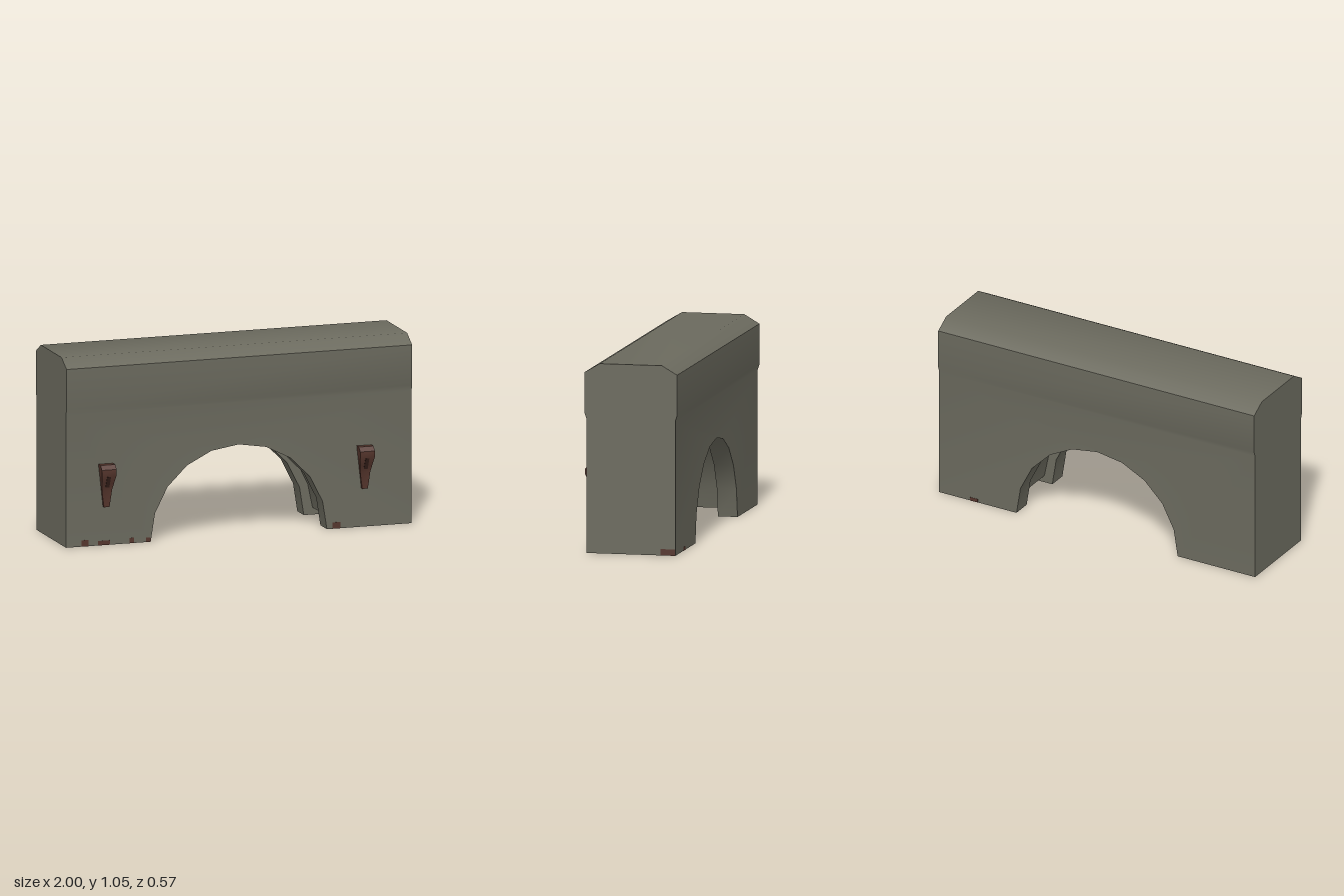
import * as THREE from 'three';
import { mergeGeometries, toCreasedNormals } from 'three/addons/utils/BufferGeometryUtils.js';

const stone = new THREE.MeshStandardMaterial({ color: 0x6b6a5e });
stone.name = 'stone';
const iron = new THREE.MeshStandardMaterial({ color: 0x55352c });
iron.name = 'rustyIron';
const darkIron = new THREE.MeshStandardMaterial({ color: 0x37211b });
darkIron.name = 'darkIron';

const toShape = (pts) => new THREE.Shape(pts.map(([x, y]) => new THREE.Vector2(x, y)));

// Extrude a (z, y) profile along x, centred on x = 0
function extrudeAlongX(pts, width) {
  return new THREE.ExtrudeGeometry(toShape(pts), { depth: width, bevelEnabled: false })
    .translate(0, 0, -width / 2)
    .rotateY(-Math.PI / 2);
}

const SHOULDER = 0.745;

// Lower wall slab with an arched opening; lift raises the foot beside the arch
function archSlab(radius, z0, z1, lift = 0) {
  const pts = [[-1, 0]];
  for (let i = 0; i <= 10; i++) {
    const a = Math.PI * (1 - i / 10);
    pts.push([radius * Math.cos(a), Math.max(lift, radius * Math.sin(a))]);
  }
  pts.push([1, 0], [1, SHOULDER], [-1, SHOULDER]);
  return new THREE.ExtrudeGeometry(toShape(pts), { depth: z1 - z0, bevelEnabled: false })
    .translate(0, 0, z0);
}

function createWall() {
  // Overhanging, chamfered upper wall
  const top = extrudeAlongX([
    [0.225, SHOULDER], [0.235, 0.775], [0.235, 1.0], [0.15, 1.05],
    [-0.2, 1.05], [-0.285, 1.0], [-0.285, 0.775], [-0.275, SHOULDER],
  ], 2);
  // Two arch lips with a gate groove between them
  const parts = [
    top,
    archSlab(0.51, 0.115, 0.225),
    archSlab(0.56, -0.165, 0.115, 0.04),
    archSlab(0.51, -0.275, -0.165),
  ];
  const mesh = new THREE.Mesh(toCreasedNormals(mergeGeometries(parts), 0.7), stone);
  mesh.name = 'archedWall';
  return mesh;
}

function createBracket(x) {
  const group = new THREE.Group();
  group.name = 'wallBracket';
  // Side profile, then narrowed towards the foot
  const geo = extrudeAlongX([
    [0.22, 0.215], [0.242, 0.215], [0.245, 0.31], [0.262, 0.35], [0.285, 0.4],
    [0.285, 0.432], [0.262, 0.455], [0.22, 0.455],
  ], 1);
  const p = geo.attributes.position;
  for (let i = 0; i < p.count; i++) {
    const t = THREE.MathUtils.clamp((p.getY(i) - 0.215) / 0.185, 0, 1);
    p.setX(i, p.getX(i) * THREE.MathUtils.lerp(0.032, 0.085, t));
  }
  const body = new THREE.Mesh(toCreasedNormals(geo, 0.6), iron);
  body.name = 'bracketBody';
  // Narrow slot on the sloping face
  const slot = new THREE.Mesh(new THREE.BoxGeometry(0.022, 0.07, 0.005), darkIron);
  slot.position.set(0, 0.36, 0.266);
  slot.rotation.x = 0.42;
  slot.name = 'bracketSlot';
  group.add(body, slot);
  group.position.x = x;
  return group;
}

// Thin rust patch on a wall face
function createPatch(x, z, w, h, d) {
  const mesh = new THREE.Mesh(new THREE.BoxGeometry(w, h, d), iron);
  mesh.position.set(x, h / 2, z);
  mesh.name = 'rustPatch';
  return mesh;
}

export function createModel() {
  const model = new THREE.Group();
  model.name = 'archedWallSegment';
  model.add(createWall(), createBracket(-0.77), createBracket(0.725));

  // Front patches: centre x, width, height
  for (const [x, w, h] of [
    [-0.89, 0.04, 0.035], [-0.78, 0.07, 0.025], [-0.62, 0.025, 0.03],
    [-0.525, 0.025, 0.025], [0.565, 0.045, 0.035],
  ]) model.add(createPatch(x, 0.2245, w, h, 0.004));

  // Patches at the back corner of the left end and on the back
  model.add(createPatch(0.9985, -0.233, 0.004, 0.035, 0.082));
  model.add(createPatch(0.78, -0.2745, 0.05, 0.02, 0.004));
  return model;
}
